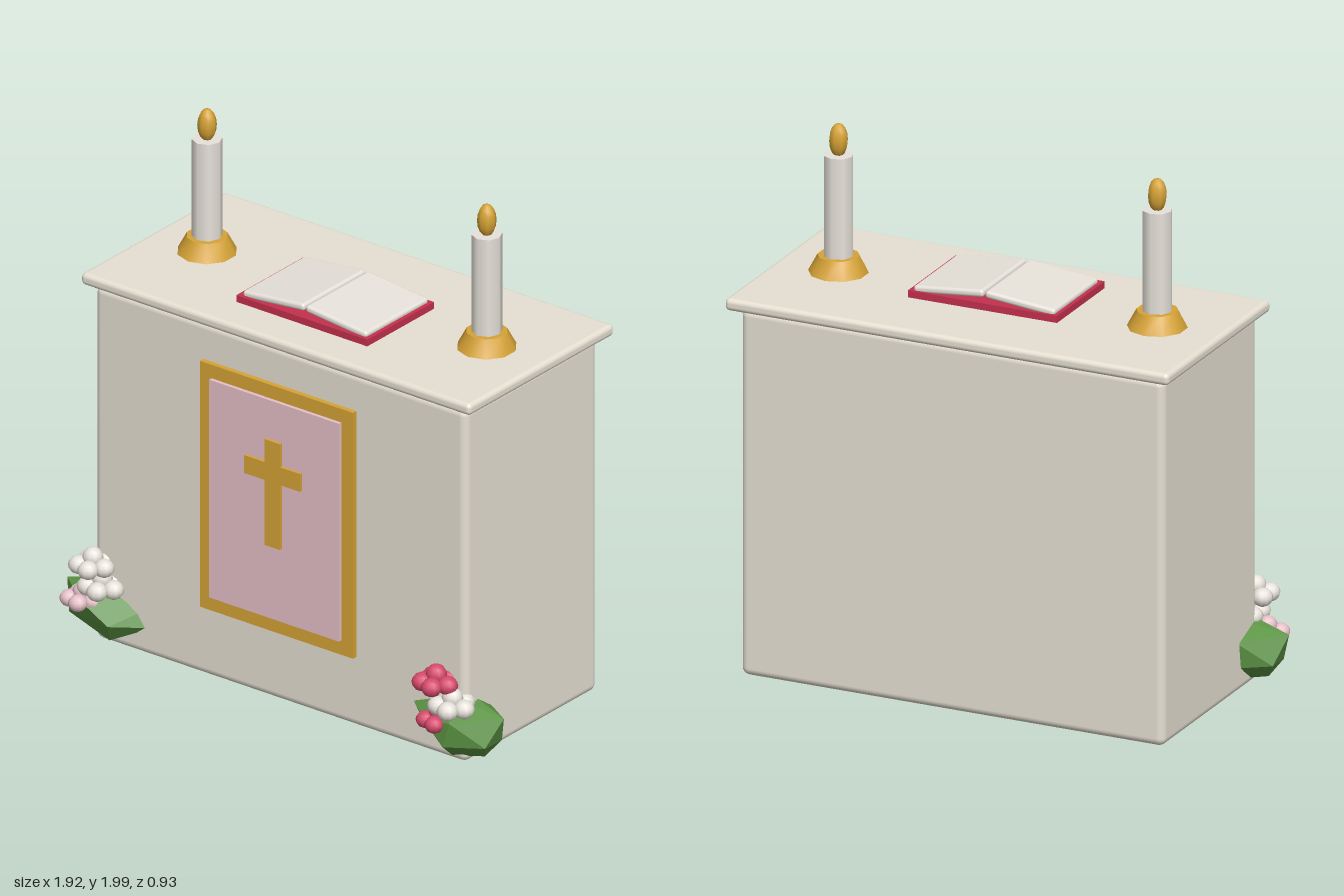
import * as THREE from 'three';
import { RoundedBoxGeometry } from 'three/addons/geometries/RoundedBoxGeometry.js';
import { ConvexGeometry } from 'three/addons/geometries/ConvexGeometry.js';
import { toCreasedNormals } from 'three/addons/utils/BufferGeometryUtils.js';

const material = (name, color) => {
  const m = new THREE.MeshStandardMaterial({ color });
  m.name = name;
  return m;
};

export function createModel() {
  const ivory = material('ivory', 0xe6e0d2);
  const white = material('white', 0xece7df);
  const gold = material('gold', 0xd6a336);
  const pink = material('pale pink', 0xe6c0c8);
  const rose = material('rose', 0xd64a6c);
  const crimson = material('crimson', 0xc4304e);
  const green = material('leaf green', 0x5c9444);

  const model = new THREE.Group();
  model.name = 'altar';

  const add = (parent, name, geometry, mat, x, y, z) => {
    const mesh = new THREE.Mesh(geometry, mat);
    mesh.name = name;
    mesh.position.set(x, y, z);
    parent.add(mesh);
    return mesh;
  };
  const group = (name, x, y, z) => {
    const g = new THREE.Group();
    g.name = name;
    g.position.set(x, y, z);
    model.add(g);
    return g;
  };
  const box = (w, h, d) => new THREE.BoxGeometry(w, h, d);
  const rounded = (w, h, d, r) => new RoundedBoxGeometry(w, h, d, 3, r);

  // Altar block and overhanging top slab
  add(model, 'body', rounded(1.66, 1.385, 0.76, 0.03), ivory, 0, 0.7025, -0.04);
  add(model, 'topSlab', rounded(1.74, 0.046, 0.835, 0.018), ivory, 0, 1.418, -0.048);

  // Framed front panel with cross
  add(model, 'panelFrame', box(0.685, 0.965, 0.03), gold, 0, 0.768, 0.345);
  add(model, 'panel', box(0.58, 0.855, 0.02), pink, 0, 0.77, 0.364);
  const cross = new THREE.Shape([
    [-0.035, 0.63], [0.035, 0.63], [0.035, 0.885], [0.125, 0.885], [0.125, 0.955], [0.035, 0.955],
    [0.035, 1.045], [-0.035, 1.045], [-0.035, 0.955], [-0.125, 0.955], [-0.125, 0.885], [-0.035, 0.885],
  ].map(([x, y]) => new THREE.Vector2(x, y)));
  add(model, 'cross', new THREE.ExtrudeGeometry(cross, { depth: 0.015, bevelEnabled: false }), gold, 0, 0, 0.37);

  // Open book
  add(model, 'bookCover', box(0.585, 0.028, 0.385), crimson, 0, 1.453, 0.022);
  for (const s of [-1, 1]) {
    const page = add(model, s < 0 ? 'rightPages' : 'leftPages',
      rounded(0.275, 0.028, 0.36, 0.012), white, s * 0.14, 1.483, 0.02);
    page.rotation.z = -s * 0.1;
  }

  // Candles on flared holders
  for (const s of [-1, 1]) {
    const candle = group(s < 0 ? 'rightCandle' : 'leftCandle', s * 0.625, 0, -0.045);
    const holder = toCreasedNormals(new THREE.CylinderGeometry(0.075, 0.11, 0.066, 10), 0.7);
    add(candle, 'holder', holder, gold, 0, 1.471, 0);
    add(candle, 'wax', new THREE.CylinderGeometry(0.055, 0.055, 0.386, 8), white, 0, 1.69, 0);
    const flame = add(candle, 'flame', new THREE.SphereGeometry(0.035, 8, 8), gold, 0, 1.937, 0);
    flame.scale.y = 1.8;
  }

  // Leafy clumps with blossoms at the front corners
  const leafPoints = [
    [0.19, 0.07, -0.02], [0.16, -0.03, 0.05], [0.15, -0.04, -0.06], [0.12, -0.09, 0],
    [0, -0.11, 0.03], [-0.03, -0.1, -0.06], [-0.19, -0.02, -0.02], [-0.19, 0.06, 0.02],
    [-0.04, 0.12, 0.02], [0.04, 0.11, -0.04], [0.05, 0.06, 0.115], [-0.08, 0.04, 0.1],
    [0.02, -0.04, 0.115], [0.06, 0.05, -0.115], [-0.06, -0.02, -0.11],
  ].map(p => new THREE.Vector3(...p));
  const leafGeometry = new ConvexGeometry(leafPoints);
  const petalGeometry = new THREE.SphereGeometry(0.038, 10, 8);

  const blossom = (parent, name, mat, x, y, z, size) => {
    const flower = new THREE.Group();
    flower.name = name;
    flower.position.set(x, y, z);
    flower.scale.setScalar(size);
    parent.add(flower);
    for (let i = 0; i < 5; i++) {
      const a = i * Math.PI * 2 / 5;
      add(flower, 'petal', petalGeometry, mat, Math.cos(a) * 0.05, -0.012, Math.sin(a) * 0.05)
        .scale.y = 0.9;
    }
    add(flower, 'blossomCentre', petalGeometry, mat, 0, 0.018, 0);
  };

  const bouquets = [
    { name: 'rightBouquet', s: -1, x: -0.772, colors: [white, white, pink],
      spots: [[-0.805, 0.332], [-0.768, 0.257], [-0.85, 0.188]] },
    { name: 'leftBouquet', s: 1, x: 0.768, colors: [rose, white, rose],
      spots: [[0.73, 0.332], [0.798, 0.257], [0.742, 0.188]] },
  ];
  for (const { name, s, x, colors, spots } of bouquets) {
    const bouquet = group(name, x, 0, 0.305);
    const leaves = add(bouquet, 'leaves', leafGeometry, green, 0, 0.135, 0);
    // A half turn keeps the faces outward on the opposite corner
    if (s < 0) leaves.rotation.y = Math.PI;
    spots.forEach(([fx, fy], i) =>
      blossom(bouquet, 'blossom', colors[i], fx - x, fy, [0.075, 0.07, 0.078][i], [1, 1.02, 0.92][i]));
  }

  return model;
}
